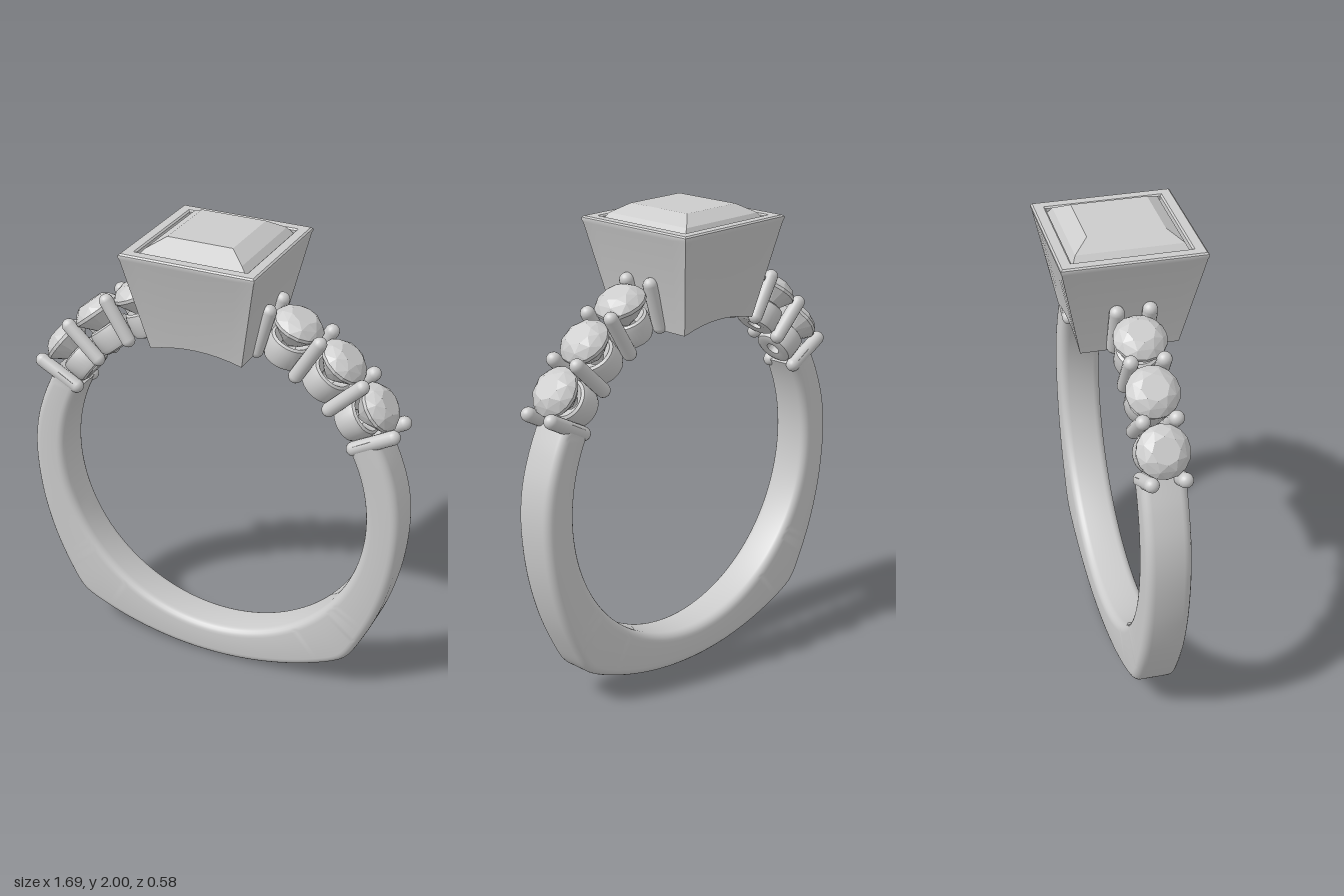
import * as THREE from 'three';
import { toCreasedNormals } from 'three/addons/utils/BufferGeometryUtils.js';
import { ConvexGeometry } from 'three/addons/geometries/ConvexGeometry.js';

const CY = 0.855;      // centre height of the finger hole
const R = 0.7;         // finger hole radius
const smooth = new THREE.MeshStandardMaterial({ color: 0xcccccc });
const faceted = new THREE.MeshStandardMaterial({ color: 0xcccccc, flatShading: true });
const V = (x, y, z) => new THREE.Vector3(x, y, z);

function mesh(name, geometry, material = smooth) {
  const m = new THREE.Mesh(geometry, material);
  m.name = name;
  return m;
}

// Skin a row of closed loops with equal point counts, optionally capping the ends
function loft(loops, caps) {
  const n = loops[0].length, pts = loops.flat(), idx = [];
  for (let j = 0; j < loops.length - 1; j++) {
    for (let i = 0; i < n; i++) {
      const a = j * n + i, b = j * n + (i + 1) % n;
      idx.push(a, b, b + n, a, b + n, a + n);
    }
  }
  if (caps) {
    const last = (loops.length - 1) * n;
    for (let i = 1; i < n - 1; i++) idx.push(0, i + 1, i, last, last + i, last + i + 1);
  }
  const g = new THREE.BufferGeometry().setFromPoints(pts);
  g.setIndex(idx);
  return toCreasedNormals(g, 0.6);
}

// Square loop; y may be a number or a function of x
function square(hx, hz, y, seg = 8) {
  const corners = [[1, 1], [1, -1], [-1, -1], [-1, 1]], out = [];
  corners.forEach(([x, z], k) => {
    const [nx, nz] = corners[(k + 1) % 4];
    for (let i = 0; i < seg; i++) {
      const t = i / seg, px = hx * (x + (nx - x) * t), pz = hz * (z + (nz - z) * t);
      out.push(V(px, typeof y === 'function' ? y(px) : y, pz));
    }
  });
  return out;
}

// Band: round inside, broad shoulders and a gently curved base outside
function shankGeometry() {
  const half = [[0.727, 1.27], [0.79, 1.135], [0.832, 1], [0.847, 0.85], [0.828, 0.64], [0.775, 0.44],
    [0.705, 0.28], [0.645, 0.178], [0.6, 0.142], [0.42, 0.068], [0.21, 0.019]];
  const path = [...half, [0, 0.003], ...half.slice().reverse().map(([x, y]) => [-x, y])];
  const curve = new THREE.CatmullRomCurve3(path.map(([x, y]) => V(x, y, 0)), false, 'centripetal');
  const hz = 0.092, fillet = 0.035;
  return loft(curve.getPoints(176).map((p) => {
    const outer = Math.hypot(p.x, p.y - CY), dx = p.x / outer, dy = (p.y - CY) / outer;
    const mid = (outer + R) / 2, hr = (outer - R) / 2, loop = [];
    for (let q = 0; q < 4; q++) {
      const sr = q === 0 || q === 3 ? 1 : -1, sz = q < 2 ? 1 : -1;
      for (let i = 0; i <= 5; i++) {
        const a = (q + i / 5) * Math.PI / 2;
        const r = mid + sr * (hr - fillet) + fillet * Math.cos(a);
        loop.push(V(dx * r, CY + dy * r, sz * (hz - fillet) + fillet * Math.sin(a)));
      }
    }
    return loop;
  }), true);
}

// Tapered square bezel, hollow, its underside cut to the finger hole
function bezelGeometry() {
  const under = (x) => CY + Math.sqrt(R * R - x * x);
  const sq = (h, y) => square(h, h, y);
  return loft([
    sq(0.2, under), sq(0.284, 1.925), sq(0.289, 1.937), sq(0.288, 1.945), sq(0.281, 1.951),
    sq(0.243, 1.951), sq(0.236, 1.945), sq(0.234, 1.87), sq(0.1, 1.68), sq(0.1, under), sq(0.2, under),
  ]);
}

// Square centre stone with stepped crown and pointed pavilion
function centreStoneGeometry() {
  return loft([
    square(0.005, 0.005, 1.6, 2), square(0.13, 0.13, 1.72, 2), square(0.232, 0.232, 1.9, 2),
    square(0.232, 0.232, 1.93, 2), square(0.205, 0.215, 1.962, 2), square(0.14, 0.155, 2, 2),
  ], true);
}

// Round brilliant as the hull of staggered facet rings
function brilliantGeometry() {
  const pts = [V(0, 0.765, 0)];
  const ring = (r, y, n, turn) => {
    for (let i = 0; i < n; i++) {
      const a = (i + turn) * 2 * Math.PI / n;
      pts.push(V(r * Math.cos(a), y, r * Math.sin(a)));
    }
  };
  ring(0.055, 0.93, 8, 0);
  ring(0.085, 0.912, 8, 0.5);
  ring(0.106, 0.884, 16, 0);
  ring(0.106, 0.87, 16, 0);
  ring(0.05, 0.805, 8, 0.5);
  return new ConvexGeometry(pts);
}

// Rounded cup with a drilled centre, under each small stone
function cupGeometry() {
  const profile = [[0.03, 0.705], [0.065, 0.7], [0.08, 0.707], [0.088, 0.725], [0.09, 0.785],
    [0.086, 0.805], [0.075, 0.812], [0.03, 0.775], [0.03, 0.705]];
  const g = new THREE.LatheGeometry(profile.map(([r, y]) => new THREE.Vector2(r, y)), 32);
  return toCreasedNormals(g, 0.7);
}

export function createModel() {
  const ring = new THREE.Group();
  ring.name = 'ring';
  ring.add(mesh('shank', shankGeometry()));
  ring.add(mesh('bezel', bezelGeometry()));
  ring.add(mesh('centreStone', centreStoneGeometry(), faceted));

  const stone = brilliantGeometry(), cup = cupGeometry();
  const prong = new THREE.CapsuleGeometry(0.03, 0.185, 6, 16);

  for (const side of [1, -1]) {
    const shoulder = new THREE.Group();
    shoulder.name = side > 0 ? 'leftShoulder' : 'rightShoulder';
    // Holder whose +y points outward along the given angle of the band
    const radial = (name, degrees) => {
      const g = new THREE.Group();
      g.name = name;
      g.position.y = CY;
      g.rotation.z = side * THREE.MathUtils.degToRad(degrees - 90);
      shoulder.add(g);
      return g;
    };
    for (let i = 0; i < 3; i++) {
      radial('stoneSetting', 36 + 15 * i).add(mesh('sideStone', stone, faceted), mesh('cup', cup));
    }
    for (let i = 0; i < 4; i++) {
      const pair = radial('prongPair', 28.5 + 15 * i);
      for (const z of [0.066, -0.066]) {
        const p = mesh('prong', prong);
        p.position.set(0, 0.81, z);
        pair.add(p);
      }
    }
    ring.add(shoulder);
  }
  return ring;
}
